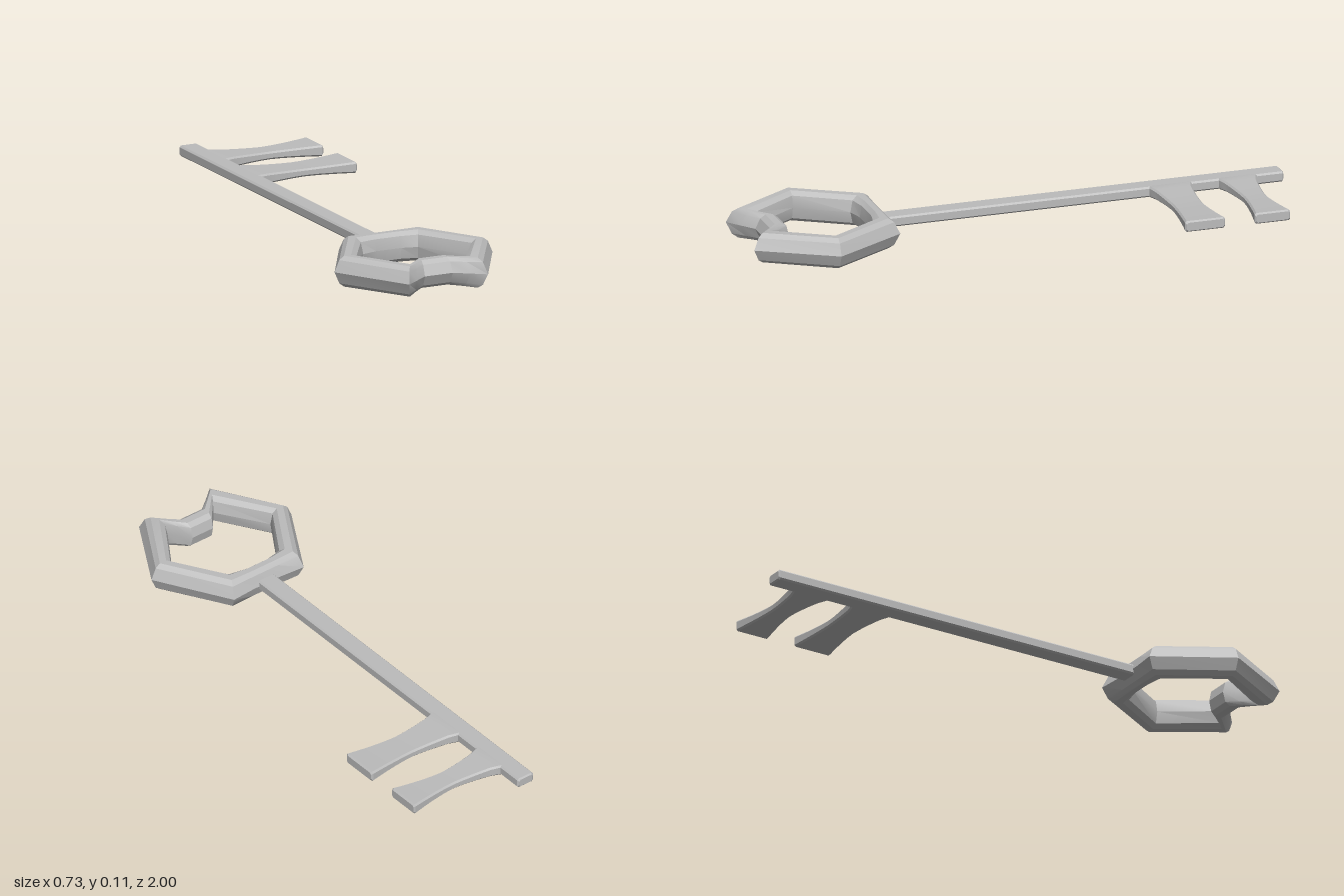
import * as THREE from 'three';
import { toCreasedNormals } from 'three/addons/utils/BufferGeometryUtils.js';

const MID = 0.056; // height of the key's middle plane

// Skin a run of equal-sized rings; closed joins last to first, otherwise the ends are capped
function loft(rings, closed = false) {
  const n = rings[0].length, m = rings.length, index = [];
  for (let i = 0; i < (closed ? m : m - 1); i++) {
    for (let j = 0; j < n; j++) {
      const k = (j + 1) % n, next = ((i + 1) % m) * n;
      const a = i * n + j, b = i * n + k, c = next + k, d = next + j;
      index.push(a, b, c, a, c, d);
    }
  }
  if (!closed) {
    const e = (m - 1) * n;
    for (let j = 1; j < n - 1; j++) index.push(0, j + 1, j, e, e + j, e + j + 1);
  }
  const g = new THREE.BufferGeometry();
  g.setAttribute('position', new THREE.Float32BufferAttribute(rings.flat(2), 3));
  g.setIndex(index);
  return toCreasedNormals(g, 0.4);
}

// Counter-clockwise rectangle outline with chamfered corners
function chamfered(hw, hh, c) {
  return [[hw, -hh + c], [hw, hh - c], [hw - c, hh], [-hw + c, hh],
    [-hw, hh - c], [-hw, -hh + c], [-hw + c, -hh], [hw - c, -hh]];
}

// Hexagonal ring handle with a pinched-in front side
function bowGeometry() {
  // outer x, outer z, inner x, inner z, height factor; x is relative to the shaft axis
  const half = [
    [0.311, 0.73, 0.218, 0.73, 1],
    [0.155, 1.0, 0.102, 0.905, 0.98],
    [0.105, 0.962, 0.075, 0.872, 0.92],
    [0.055, 0.925, 0.045, 0.835, 0.9],
  ];
  const back = [
    [-0.155, 0.46, -0.108, 0.555, 1],
    [-0.06, 0.467, -0.05, 0.54, 0.98],
    [0.06, 0.467, 0.05, 0.54, 0.98],
    [0.155, 0.46, 0.108, 0.555, 1],
  ];
  const mirrored = half.slice().reverse().map(([a, b, c, d, h]) => [-a, b, -c, d, h]);
  // Cross-section: fraction from outer to inner edge, height
  const upper = [[0.2, 0.042], [0.4, 0.056], [0.7, 0.056], [0.9, 0.042]];
  const section = [[0, 0], ...upper, [1, 0],
    ...upper.slice().reverse().map(([t, y]) => [t, -y])];
  const rings = [...half, ...mirrored, ...back].map(([ox, oz, ix, iz, h]) =>
    section.map(([t, y]) => [-0.055 + ox + (ix - ox) * t, MID + y * h, oz + (iz - oz) * t]));
  return loft(rings, true);
}

// Straight bevelled bar along z
function shaftGeometry() {
  const stations = [[-1, 0.005], [-0.995, 0], [0.5, 0]];
  return loft(stations.map(([z, inset]) =>
    chamfered(0.035 - inset, 0.019 - inset, 0.006).map(([x, y]) => [-0.055 + x, MID + y, z])));
}

// Waisted tooth along x, flaring at the root and tip
function toothGeometry(z0, tipHalf, waistHalf) {
  const rings = [];
  const add = (x, hy, hz) => rings.push(
    chamfered(hy, hz, 0.006).map(([y, z]) => [x, MID + y, z0 + z]));
  add(-0.045, 0.017, tipHalf + 0.006);
  const start = -0.024, end = 0.354, steps = 10;
  for (let i = 0; i <= steps; i++) {
    const u = i / steps, s = Math.min(1, Math.pow(Math.abs(2 * u - 1), 1.5));
    add(start + (end - start) * u, 0.014 + 0.006 * s,
      waistHalf + (tipHalf - waistHalf) * s + (i === 0 ? 0.006 : 0));
  }
  add(0.36, 0.015, tipHalf - 0.005);
  return loft(rings);
}

export function createModel() {
  const model = new THREE.Group();
  model.name = 'key';
  const metal = new THREE.MeshStandardMaterial({ color: 0xbcbcbc });
  metal.name = 'grey metal';
  const add = (name, geometry) => {
    const mesh = new THREE.Mesh(geometry, metal);
    mesh.name = name;
    model.add(mesh);
  };
  add('bow', bowGeometry());
  add('shaft', shaftGeometry());
  add('endTooth', toothGeometry(-0.83, 0.066, 0.041));
  add('innerTooth', toothGeometry(-0.581, 0.074, 0.055));
  return model;
}
